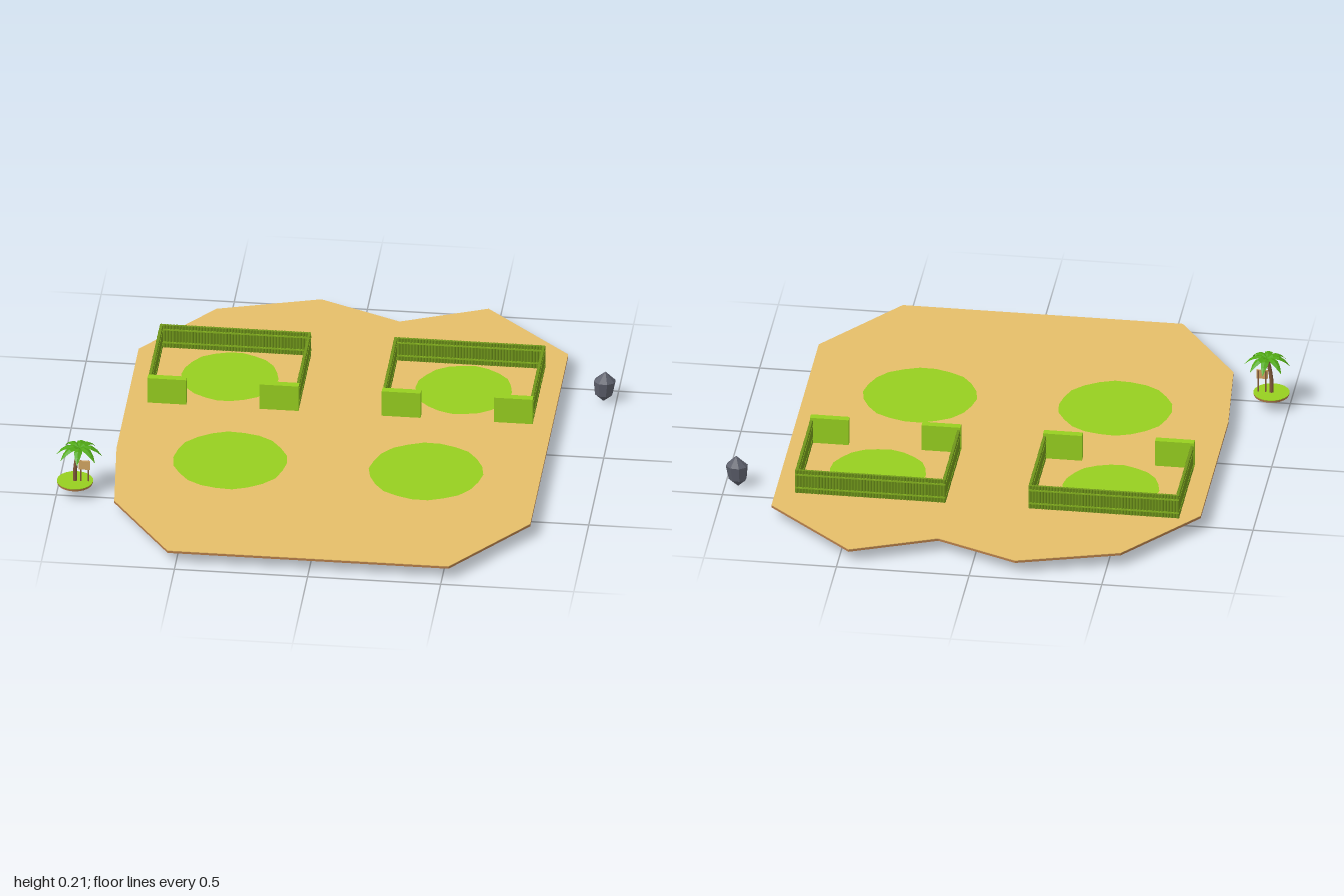
import * as THREE from 'three';
import { mergeGeometries } from 'three/addons/utils/BufferGeometryUtils.js';

const mat = (name, color, extra = {}) =>
  new THREE.MeshStandardMaterial({ name, color, ...extra });

export function createModel() {
  const root = new THREE.Group();
  root.name = 'islandCamp';
  const sand = mat('sand', 0xe5bd69);
  const soil = mat('soil', 0xb57d49);
  const grass = mat('grass', 0x96ce1f);
  const stakeGreen = mat('stakeGreen', 0x6f951a);
  const railGreen = mat('railGreen', 0x86b41f);
  const bark = mat('bark', 0x80583a);
  const wood = mat('signWood', 0xd2a562);
  const leafGreen = mat('leafGreen', 0x50a814, { side: THREE.DoubleSide, flatShading: true });
  const stone = mat('stone', 0x5a5d69, { flatShading: true });

  const add = (parent, name, geometry, material, x = 0, y = 0, z = 0) => {
    const mesh = new THREE.Mesh(geometry, material);
    mesh.name = name;
    mesh.position.set(x, y, z);
    parent.add(mesh);
    return mesh;
  };

  // Ground: thin sand layer over a soil layer
  const outline = [[-0.168, -0.96], [0.14, -0.828], [0.46, -0.96], [0.793, -0.656], [0.793, 0.612],
    [0.525, 0.96], [-0.53, 0.96], [-0.77, 0.612], [-0.805, 0.225], [-0.805, -0.518], [-0.55, -0.846]];
  const slab = (depth) => new THREE.ExtrudeGeometry(
    new THREE.Shape(outline.map(([x, z]) => new THREE.Vector2(x, -z))),
    { depth, bevelEnabled: false }).rotateX(-Math.PI / 2);
  add(root, 'groundSoil', slab(0.0085), soil, 0, 0.0485, 0);
  add(root, 'groundSand', slab(0.002), sand, 0, 0.057, 0);

  // Flat grass circles, with slightly uneven edges
  [[-0.373, 0.27, 0.213], [0.363, 0.27, 0.213], [-0.443, -0.348, 0.181], [0.435, -0.348, 0.181]]
    .forEach(([x, z, r], i) => {
      const shape = new THREE.Shape();
      for (let k = 0; k < 22; k++) {
        const a = (k / 22) * Math.PI * 2;
        const rr = r * (1 + 0.012 * Math.sin(k * 2.3 + i));
        shape[k ? 'lineTo' : 'moveTo'](rr * Math.cos(a), rr * Math.sin(a));
      }
      const g = new THREE.ShapeGeometry(shape).rotateX(-Math.PI / 2);
      add(root, 'grassPatch', g, grass, x, 0.0598, z);
    });

  // Closed stake wall along x, with two rails on both faces
  const wall = (length) => {
    const group = new THREE.Group();
    group.name = 'stakeWall';
    const n = Math.round(length / 0.0115);
    const stakes = [];
    for (let i = 0; i < n; i++) {
      stakes.push(new THREE.CylinderGeometry(0.0062, 0.0062, 0.096, 12)
        .translate(-length / 2 + (i + 0.5) * length / n, 0.106, 0));
    }
    add(group, 'stakes', mergeGeometries(stakes), stakeGreen);
    for (const y of [0.081, 0.136]) {
      add(group, 'rail', new THREE.BoxGeometry(length, 0.006, 0.0135), railGreen, 0, y, 0);
    }
    return group;
  };

  // Two enclosures open to the front, each with two gate panels
  for (const [name, x0, x1] of [['rightPen', -0.728, -0.16], ['leftPen', 0.152, 0.719]]) {
    const pen = new THREE.Group();
    pen.name = name;
    const back = wall(x1 - x0);
    back.position.set((x0 + x1) / 2, 0, -0.544);
    pen.add(back);
    for (const x of [x0 + 0.006, x1 - 0.006]) {
      const side = wall(0.39);
      side.rotation.y = Math.PI / 2;
      side.position.set(x, 0, -0.347);
      pen.add(side);
    }
    for (const x of [x0 + 0.073, x1 - 0.073]) {
      add(pen, 'gatePanel', new THREE.BoxGeometry(0.146, 0.106, 0.028), grass, x, 0.111, -0.139);
    }
    root.add(pen);
  }

  // Small palm islet
  const islet = new THREE.Group();
  islet.name = 'palmIslet';
  islet.position.set(-0.932, 0, 0.479);
  root.add(islet);
  add(islet, 'isletSoil', new THREE.CylinderGeometry(0.068, 0.066, 0.0085, 20), soil, 0, 0.05275, 0);
  add(islet, 'isletGrass', new THREE.CylinderGeometry(0.068, 0.068, 0.002, 20), grass, 0, 0.058, 0);

  const trunkPath = new THREE.CatmullRomCurve3([[0, 0.055, 0], [0, 0.1, 0.002],
    [0.006, 0.15, 0.002], [0.016, 0.198, 0]].map((p) => new THREE.Vector3(...p)));
  add(islet, 'trunk', new THREE.TubeGeometry(trunkPath, 8, 0.0075, 12), bark);

  // Palm frond: V-shaped sections along a drooping arc
  const frond = () => {
    const rows = [[0, 0, 0.004], [0.022, 0.009, 0.013], [0.045, 0.008, 0.015],
      [0.066, -0.006, 0.01], [0.086, -0.03, 0.0005]];
    const pos = [], index = [];
    rows.forEach(([r, y, w], i) => {
      pos.push(r, y - w * 0.35, -w, r, y, 0, r, y - w * 0.35, w);
      if (i) {
        for (const j of [0, 1]) {
          const a = (i - 1) * 3 + j, b = a + 3;
          index.push(a, a + 1, b, a + 1, b + 1, b);
        }
      }
    });
    const g = new THREE.BufferGeometry();
    g.setAttribute('position', new THREE.Float32BufferAttribute(pos, 3));
    g.setIndex(index);
    g.computeVertexNormals();
    return g;
  };
  for (let i = 0; i < 8; i++) {
    const leaf = add(islet, 'frond', frond(), leafGreen, 0.016, 0.2, 0);
    leaf.rotation.y = (i / 8) * Math.PI * 2 + 0.08 * Math.sin(i * 2.1);
  }

  // Sign on two posts beside the palm
  for (const x of [0.022, 0.05]) {
    add(islet, 'signPost', new THREE.BoxGeometry(0.005, 0.088, 0.005), bark, x, 0.102, 0);
  }
  add(islet, 'signBoard', new THREE.BoxGeometry(0.042, 0.036, 0.006), wood, 0.036, 0.129, 0.005);

  // Floating faceted rock
  const profile = [[0, 0.003], [0.034, 0.034], [0.042, 0.09], [0, 0.13]]
    .map(([r, y]) => new THREE.Vector2(r, y));
  const rockGeo = new THREE.LatheGeometry(profile, 8, 0.3);
  const p = rockGeo.attributes.position;
  for (let i = 0; i < p.count; i++) {
    p.setX(i, p.getX(i) + 0.06 * (p.getY(i) - 0.065));
  }
  add(root, 'rock', rockGeo, stone, 0.955, 0, -0.423).scale.z = 0.8;

  return root;
}
